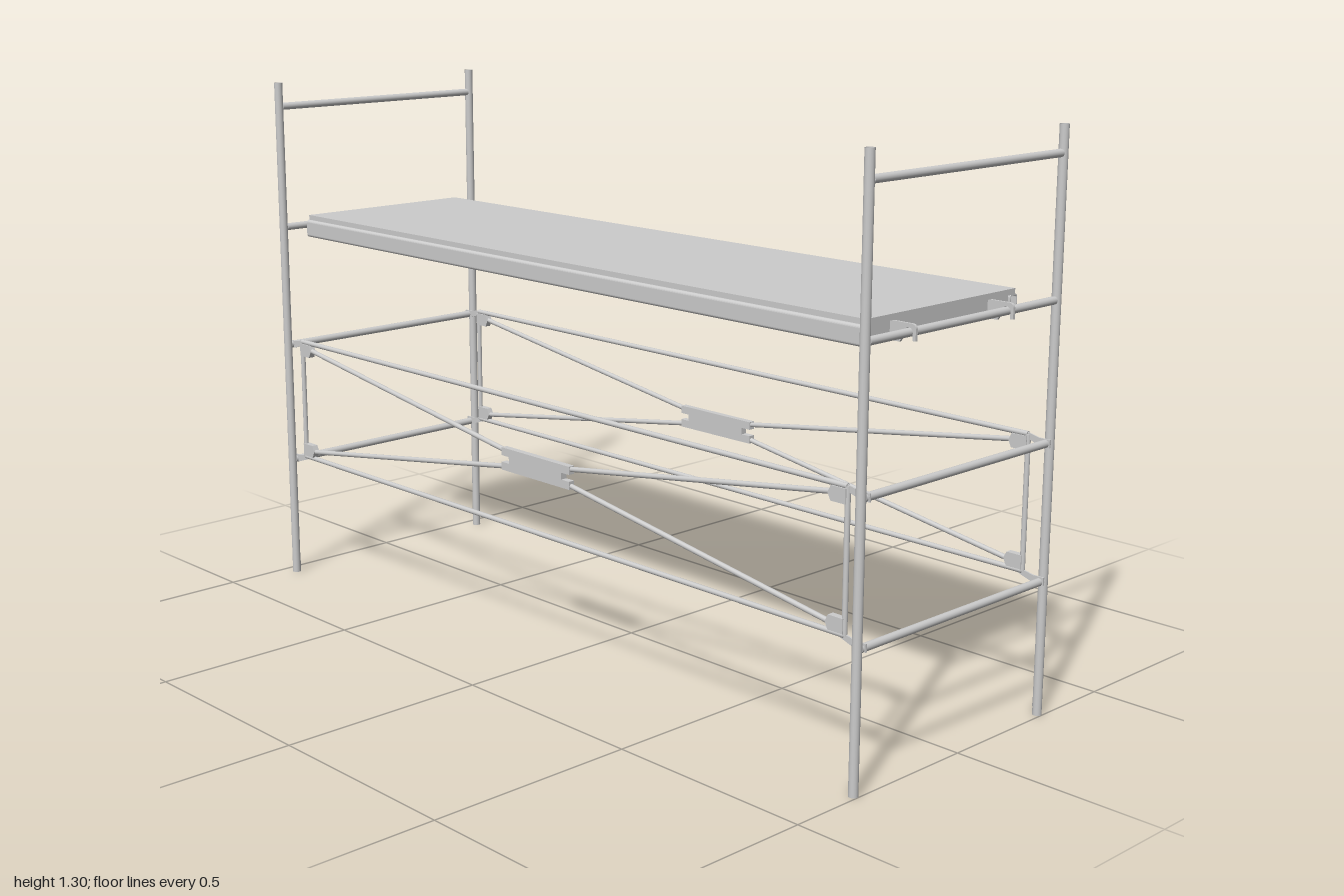
import * as THREE from 'three';

const CX = 0.0125, CZ = 0.0135;      // centre of the post layout (feet stick out to one side)
const HX = 0.9765, HZ = 0.3095;      // half spacing of the posts
const R = 0.0105;                    // post radius
const mat = new THREE.MeshStandardMaterial({ color: 0xcccccc, side: THREE.DoubleSide });

function add(parent, name, geometry, x = 0, y = 0, z = 0) {
  const mesh = new THREE.Mesh(geometry, mat);
  mesh.name = name;
  mesh.position.set(x, y, z);
  parent.add(mesh);
  return mesh;
}

const box = (parent, name, w, h, d, x, y, z) => add(parent, name, new THREE.BoxGeometry(w, h, d), x, y, z);

// Round bar between two points
function bar(parent, name, a, b, r, open = false) {
  const p = new THREE.Vector3(...a), q = new THREE.Vector3(...b);
  const dir = q.clone().sub(p);
  const mesh = add(parent, name, new THREE.CylinderGeometry(r, r, dir.length(), 16, 1, open));
  mesh.position.copy(p).add(q).multiplyScalar(0.5);
  mesh.quaternion.setFromUnitVectors(new THREE.Vector3(0, 1, 0), dir.normalize());
  return mesh;
}

// Flat plate from an outline, centred on its thickness
function plate(points, depth) {
  const shape = new THREE.Shape(points.map(([x, y]) => new THREE.Vector2(x, y)));
  return new THREE.ExtrudeGeometry(shape, { depth, bevelEnabled: false }).translate(0, 0, -depth / 2);
}

function roundRect(target, w, h, r) {
  const x = w / 2, y = h / 2;
  target.absarc(x - r, y - r, r, 0, Math.PI / 2);
  target.absarc(-x + r, y - r, r, Math.PI / 2, Math.PI);
  target.absarc(-x + r, -y + r, r, Math.PI, Math.PI * 1.5);
  target.absarc(x - r, -y + r, r, Math.PI * 1.5, Math.PI * 2);
  target.closePath();
  return target;
}

// Ladder-like end frame: two hollow posts, four rungs, a fin at each foot
function endFrame(x) {
  const g = new THREE.Group();
  g.name = 'endFrame';
  for (const s of [-1, 1]) {
    const z = CZ + s * HZ;
    bar(g, 'post', [x, 0, z], [x, 1.3, z], R, true);
    const fin = plate([[0.009, 0], [0.05, 0], [0.05, 0.01], [0.024, 0.03], [0.009, 0.03]], 0.004);
    add(g, 'footFin', fin, x, 0, z).rotation.y = Math.PI * 0.75;
  }
  for (const y of [0.31, 0.62, 0.93, 1.24])
    bar(g, 'rung', [x, y, CZ - HZ + 0.008], [x, y, CZ + HZ - 0.008], 0.009);
  return g;
}

// Side brace: rails, uprights, diagonals, corner gussets and a centre plate
function sideBrace(z) {
  const g = new THREE.Group();
  g.name = 'sideBrace';
  g.position.set(CX, 0, z);
  const low = 0.325, high = 0.633, mid = 0.482, ux = 0.931;
  for (const y of [low, high]) {
    const up = y === high ? -1 : 1;
    bar(g, 'rail', [-ux, y, 0], [ux, y, 0], 0.006);
    for (const s of [-1, 1]) {
      // flattened rail end reaching the post
      const tab = plate([[s * 0.92, y + 0.006], [s * 0.96, y - 0.003], [s * 0.988, y - 0.003],
        [s * 0.988, y - 0.021], [s * 0.965, y - 0.021], [s * 0.92, y - 0.006]], 0.004);
      add(g, 'railEnd', tab);
      bar(g, 'diagonal', [s * 0.895, y + up * 0.018, 0], [s * 0.085, mid - up * 0.015, 0], 0.006);
      const c = y + up * 0.02;
      const gusset = plate([[s * 0.932, c - 0.016], [s * 0.893, c - 0.016], [s * 0.885, c],
        [s * 0.893, c + 0.016], [s * 0.932, c + 0.016]], 0.016);
      add(g, 'gusset', gusset);
    }
  }
  for (const s of [-1, 1]) bar(g, 'upright', [s * ux, low, 0], [s * ux, high, 0], 0.006);
  const quarter = [[0.118, 0.027], [0.118, 0.008], [0.092, 0.008]];
  const right = [...quarter, ...quarter.map(([x, y]) => [x, -y]).reverse()];
  const outline = [...right, ...right.map(([x, y]) => [-x, -y])];
  add(g, 'centrePlate', plate(outline, 0.016), 0, mid, 0);
  return g;
}

// Work platform: deck sheet, hollow side rails, cross members and hooks
function platform() {
  const g = new THREE.Group();
  g.name = 'platform';
  g.position.set(CX, 0, 0.0325);
  const len = 1.87, y = 0.927, rz = 0.235;
  box(g, 'deck', len, 0.013, 0.478, 0, 0.9545, 0);

  const section = roundRect(new THREE.Shape(), 0.024, 0.044, 0.007);
  section.holes.push(roundRect(new THREE.Path(), 0.019, 0.039, 0.005));
  const railGeo = new THREE.ExtrudeGeometry(section, { depth: len, bevelEnabled: false, curveSegments: 5 })
    .translate(0, 0, -len / 2).rotateY(Math.PI / 2);
  for (const s of [-1, 1]) {
    add(g, 'sideRail', railGeo, 0, y, s * rz);
    box(g, 'endMember', 0.022, 0.042, 0.446, s * 0.918, y, 0);
    box(g, 'crossMember', 0.05, 0.02, 0.446, s * 0.31, 0.936, 0);
    // hook laid over the rung
    const hook = new THREE.Shape();
    hook.moveTo(0.925, 0.908);
    hook.lineTo(0.954, 0.908);
    hook.lineTo(0.9665, 0.927);
    hook.absarc(0.9765, 0.93, 0.01, Math.PI, 0, true);
    hook.lineTo(0.9865, 0.914);
    hook.lineTo(0.994, 0.914);
    hook.lineTo(0.994, 0.938);
    hook.absarc(0.984, 0.938, 0.01, 0, Math.PI / 2);
    hook.lineTo(0.925, 0.948);
    const hookGeo = new THREE.ExtrudeGeometry(hook, { depth: 0.006, bevelEnabled: false }).translate(0, 0, -0.003);
    for (const t of [-1, 1]) {
      const m = add(g, 'hook', hookGeo, 0, 0, t * 0.157);
      if (s < 0) m.rotation.y = Math.PI;
    }
  }
  return g;
}

export function createModel() {
  const model = new THREE.Group();
  model.name = 'scaffold';
  for (const s of [-1, 1]) {
    model.add(endFrame(CX + s * HX));
    model.add(sideBrace(CZ + s * (HZ - 0.0145)));
  }
  model.add(platform());
  return model;
}
